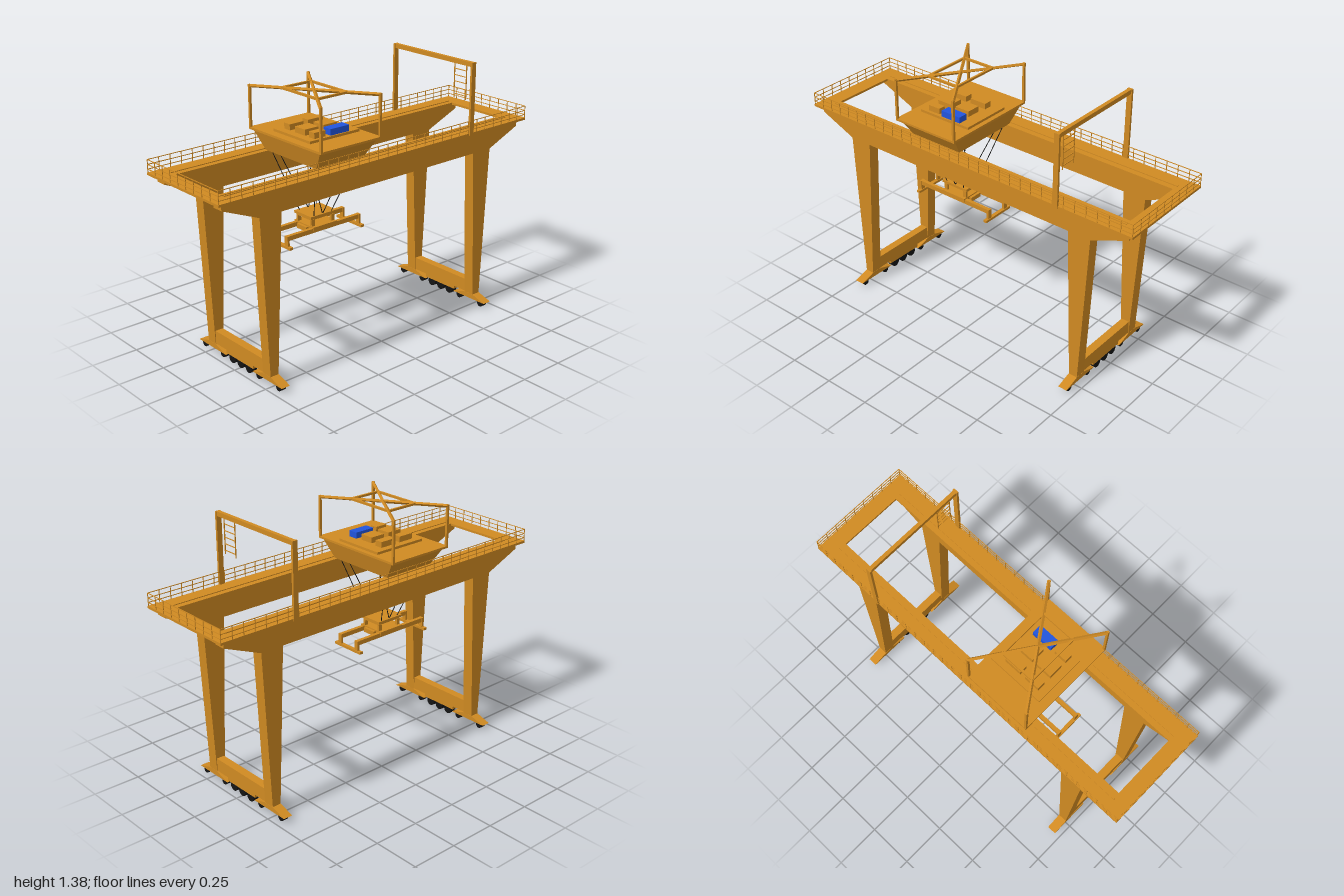
import * as THREE from 'three';

const paint = (color) => new THREE.MeshStandardMaterial({ color, flatShading: true });

export function createModel() {
  const root = new THREE.Group();
  const orange = paint(0xd08a22), black = paint(0x141414), blue = paint(0x2255dd);

  const add = (parent, name, geo, mat = orange) => {
    const m = new THREE.Mesh(geo, mat);
    m.name = name;
    parent.add(m);
    return m;
  };
  const group = (name) => {
    const g = new THREE.Group();
    g.name = name;
    root.add(g);
    return g;
  };
  // Box given by its min and max on each axis
  const box = (p, name, x0, x1, y0, y1, z0, z1, mat) => {
    const m = add(p, name, new THREE.BoxGeometry(x1 - x0, y1 - y0, z1 - z0), mat);
    m.position.set((x0 + x1) / 2, (y0 + y1) / 2, (z0 + z1) / 2);
    return m;
  };
  // Straight bar of square or round section between two points
  const bar = (p, name, a, b, r, mat = orange, sides = 4) => {
    const A = new THREE.Vector3(...a), B = new THREE.Vector3(...b);
    const d = B.clone().sub(A);
    const geo = new THREE.CylinderGeometry(r, r, d.length(), sides);
    if (sides === 4) geo.rotateY(Math.PI / 4);
    const m = add(p, name, geo, mat);
    m.position.copy(A).add(B).multiplyScalar(0.5);
    m.quaternion.setFromUnitVectors(new THREE.Vector3(0, 1, 0), d.normalize());
    return m;
  };
  const poly = (pts) => new THREE.Shape(pts.map(([x, y]) => new THREE.Vector2(x, y)));
  const extrude = (shape, depth) => new THREE.ExtrudeGeometry(shape, { depth, bevelEnabled: false });

  // Main frames: girder with haunched ends and two tapered legs in one profile
  const half = [[0.635, 0.88], [0.675, 0.03], [0.72, 0.03], [0.76, 0.88], [0.965, 0.965], [0.965, 1.0]];
  const profile = poly([...half, ...half.map(([x, y]) => [-x, y]).reverse()]);
  for (const s of [-1, 1]) {
    add(root, s > 0 ? 'frontGirderAndLegs' : 'backGirderAndLegs', extrude(profile, 0.06))
      .position.z = s > 0 ? 0.195 : -0.255;
    box(root, 'trolleyRail', -0.92, 0.92, 1.008, 1.014, s * 0.21 - 0.005, s * 0.21 + 0.005);
  }

  // Walkway deck: a ring around the top
  const deck = poly([[-1, -0.285], [1, -0.285], [1, 0.285], [-1, 0.285]]);
  deck.holes.push(new THREE.Path([[-0.915, -0.175], [-0.915, 0.175], [0.915, 0.175], [0.915, -0.175]]
    .map(([x, y]) => new THREE.Vector2(x, y))));
  const deckMesh = add(root, 'walkwayDeck', extrude(deck, 0.012));
  deckMesh.rotation.x = -Math.PI / 2;
  deckMesh.position.y = 0.998;

  // Handrails on all four outer edges
  const railing = group('railing');
  const fence = (a, b, n) => {
    for (const y of [1.027, 1.05, 1.074]) bar(railing, 'handrail', [a[0], y, a[1]], [b[0], y, b[1]], 0.0022);
    for (let i = 0; i <= n; i++) {
      const x = a[0] + (b[0] - a[0]) * i / n, z = a[1] + (b[1] - a[1]) * i / n;
      bar(railing, 'railPost', [x, 1.008, z], [x, 1.074, z], 0.0022);
    }
  };
  for (const s of [-1, 1]) {
    fence([-0.997, s * 0.282], [0.997, s * 0.282], 32);
    fence([s * 0.997, -0.282], [s * 0.997, 0.282], 9);
  }

  // Sill beams, feet and wheels under each pair of legs
  const footShape = poly([[-0.115, 0.03], [0.115, 0.03], [0.03, 0.057], [-0.03, 0.057]]);
  for (const s of [-1, 1]) {
    const base = group(s > 0 ? 'leftBase' : 'rightBase');
    base.position.x = s * 0.6975;
    box(base, 'sillBeam', -0.022, 0.022, 0.06, 0.13, -0.197, 0.197);
    box(base, 'wheelCarrier', -0.02, 0.02, 0.04, 0.06, -0.11, 0.11);
    const wheel = (z, r) => {
      const w = add(base, 'wheel', new THREE.CylinderGeometry(r, r, 0.032, 16), black);
      w.rotation.z = Math.PI / 2;
      w.position.set(0, r, z);
    };
    for (const z of [-0.067, 0, 0.067]) wheel(z, 0.026);
    for (const f of [-1, 1]) {
      const foot = add(base, 'foot', extrude(footShape, 0.05));
      foot.rotation.y = -Math.PI / 2;
      foot.position.set(0.025, 0, f * 0.225);
      for (const d of [-0.078, 0.078]) wheel(f * 0.225 + d, 0.019);
    }
  }

  // Portal frame with hanging ladder
  const portal = group('portalFrame');
  for (const s of [-1, 1]) box(portal, 'portalPost', 0.566, 0.594, 0.998, 1.38, s * 0.283 - 0.006, s * 0.283 + 0.006);
  box(portal, 'portalBeam', 0.57, 0.59, 1.357, 1.38, -0.28, 0.28);
  for (const z of [0.155, 0.238]) bar(portal, 'ladderRail', [0.58, 1.175, z], [0.58, 1.36, z], 0.003);
  for (let i = 0; i < 5; i++) {
    const y = 1.195 + i * 0.033;
    bar(portal, 'ladderRung', [0.58, y, 0.155], [0.58, y, 0.238], 0.0025);
  }

  // Trolley: hull narrowing downward, deck plate and machinery
  const trolley = group('trolley');
  trolley.position.x = -0.225;
  const hullGeo = new THREE.BoxGeometry(0.36, 0.1, 0.515);
  const p = hullGeo.attributes.position;
  for (let i = 0; i < p.count; i++) {
    if (p.getY(i) < 0) p.setXYZ(i, p.getX(i) * 0.84, p.getY(i), p.getZ(i) * 0.75);
  }
  hullGeo.computeVertexNormals();
  add(trolley, 'trolleyHull', hullGeo).position.y = 1.058;
  box(trolley, 'trolleyDeck', -0.19, 0.19, 1.106, 1.117, -0.275, 0.275);
  box(trolley, 'machineBase', -0.145, 0.165, 1.117, 1.13, -0.138, 0.142);
  box(trolley, 'motorHousing', -0.012, 0.105, 1.13, 1.162, 0.083, 0.135, blue);
  for (const [x0, x1, z0, z1] of [[-0.105, -0.02, -0.02, 0.055], [0.01, 0.095, -0.02, 0.055],
    [-0.105, -0.02, -0.103, -0.06], [0.01, 0.105, -0.103, -0.06], [-0.105, -0.035, 0.085, 0.125]]) {
    box(trolley, 'machineBox', x0, x1, 1.13, 1.16, z0, z1);
  }

  // Trolley roof frame: corner posts, diagonals and an inner ring
  for (const sx of [-1, 1]) for (const sz of [-1, 1]) {
    box(trolley, 'roofPost', sx * 0.184 - 0.006, sx * 0.184 + 0.006, 1.115, 1.332, sz * 0.269 - 0.006, sz * 0.269 + 0.006);
    bar(trolley, 'roofDiagonal', [sx * 0.184, 1.325, sz * 0.269], [0, 1.325, 0], 0.009);
  }
  for (const s of [-1, 1]) {
    bar(trolley, 'roofRing', [-0.092, 1.325, s * 0.135], [0.092, 1.325, s * 0.135], 0.008);
    bar(trolley, 'roofRing', [s * 0.092, 1.325, -0.135], [s * 0.092, 1.325, 0.135], 0.008);
  }

  // Hoist cables
  for (const sx of [-1, 1]) for (const sz of [-1, 1]) {
    bar(trolley, 'cable', [sx * 0.135, 1.01, sz * 0.17], [sx * 0.055, 0.705, sz * 0.055], 0.0022, black, 5);
    bar(trolley, 'cable', [sx * 0.13, 1.01, sz * 0.115], [0, 0.705, sz * 0.055], 0.0022, black, 5);
  }

  // Spreader: head block, lower frame, long arms and end bars
  const spreader = group('spreader');
  spreader.position.x = -0.225;
  box(spreader, 'headBlock', -0.082, 0.082, 0.697, 0.71, -0.066, 0.066);
  box(spreader, 'headBlockUnderside', -0.075, 0.075, 0.688, 0.697, -0.056, 0.056);
  box(spreader, 'lowerFrame', -0.075, 0.075, 0.635, 0.656, -0.076, 0.076);
  box(spreader, 'centreBox', -0.09, 0.09, 0.627, 0.65, -0.036, 0.036);
  for (const sx of [-1, 1]) {
    for (const sz of [-1, 1]) {
      box(spreader, 'headPillar', sx * 0.063 - 0.01, sx * 0.063 + 0.01, 0.65, 0.69, sz * 0.053 - 0.006, sz * 0.053 + 0.006);
      box(spreader, 'endDrop', sx * 0.23 - 0.006, sx * 0.23 + 0.006, 0.59, 0.65, sz * 0.062 - 0.012, sz * 0.062 + 0.012);
    }
    box(spreader, 'endBar', sx * 0.23 - 0.01, sx * 0.23 + 0.01, 0.586, 0.599, -0.095, 0.095);
  }
  for (const s of [-1, 1]) box(spreader, 'spreaderArm', -0.236, 0.236, 0.627, 0.65, s * 0.062 - 0.01, s * 0.062 + 0.01);

  return root;
}
